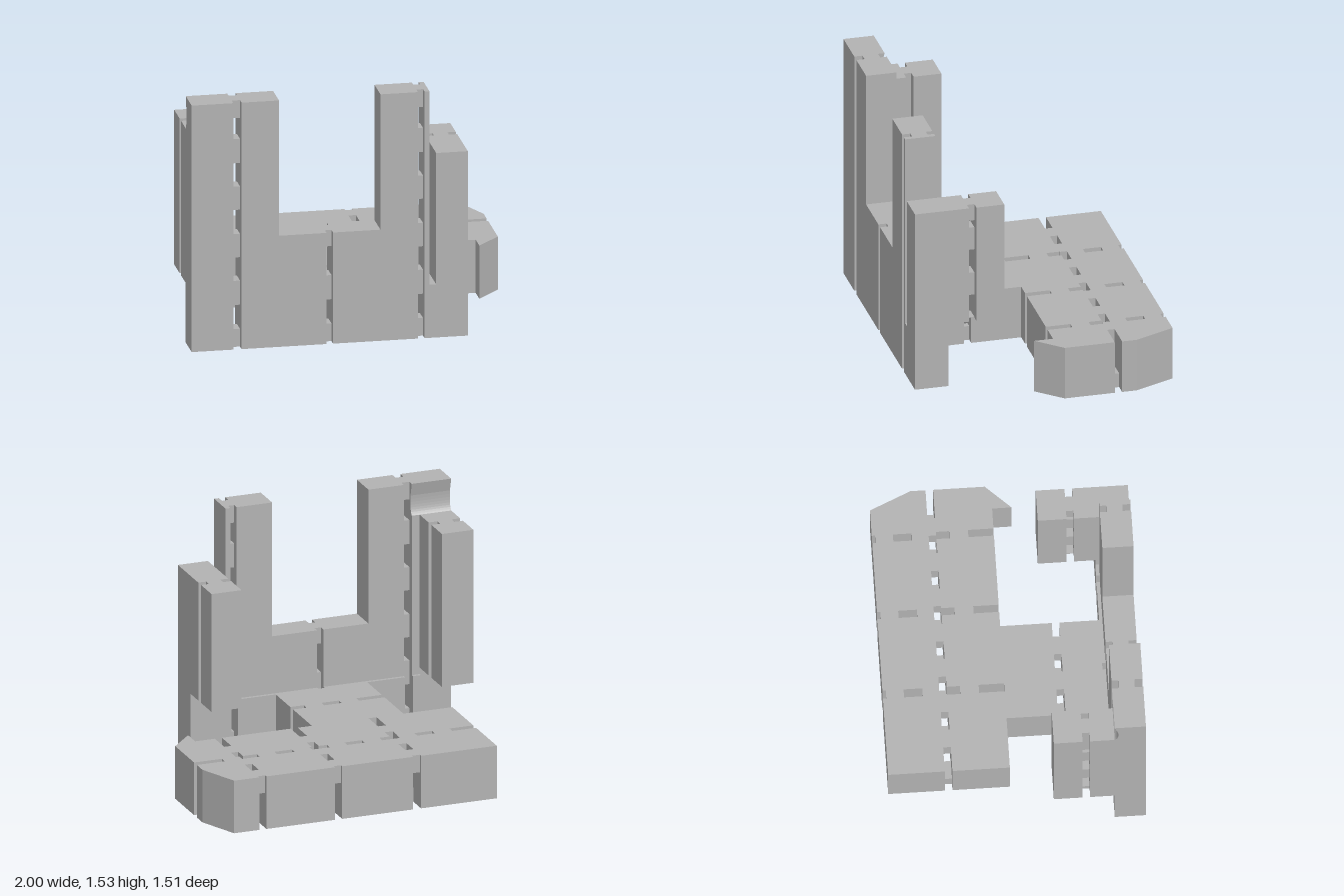
import * as THREE from 'three';

export function createModel() {
  const root = new THREE.Group();
  root.name = 'modularBlockStructure';
  const grey = new THREE.MeshStandardMaterial({ color: 0xb2b2b2 });
  grey.name = 'plain grey';

  const group = (name) => {
    const g = new THREE.Group();
    g.name = name;
    root.add(g);
    return g;
  };
  const add = (g, name, geo) => {
    const m = new THREE.Mesh(geo, grey);
    m.name = name;
    g.add(m);
    return m;
  };
  // Box given by its limits on each axis
  const box = (g, name, x0, x1, y0, y1, z0, z1) => {
    const geo = new THREE.BoxGeometry(x1 - x0, y1 - y0, z1 - z0);
    geo.translate((x0 + x1) / 2, (y0 + y1) / 2, (z0 + z1) / 2);
    return add(g, name, geo);
  };
  // Upright prism from a floor plan of [x, z] points
  const prism = (g, name, plan, height) => {
    const shape = new THREE.Shape(plan.map(([x, z]) => new THREE.Vector2(x, -z)));
    const geo = new THREE.ExtrudeGeometry(shape, { depth: height, bevelEnabled: false });
    geo.rotateX(-Math.PI / 2);
    return add(g, name, geo);
  };
  // Solid stretches left between a and b once the gaps are taken out
  const solids = (a, b, gaps) => {
    const out = [];
    let at = a;
    for (const [g0, g1] of gaps) {
      if (g1 <= at || g0 >= b) continue;
      if (g0 > at) out.push([at, g0]);
      at = g1;
    }
    if (at < b) out.push([at, b]);
    return out;
  };

  // Floor slab: full-height cells separated by narrow channels
  const H = 0.33;
  const floor = group('floorSlab');
  const columns = [[-0.29, -0.24], [0.21, 0.255], [0.69, 0.735]];
  const row = [-0.42, -0.375];
  for (const [x0, x1] of solids(-0.77, 0.735, columns)) {
    box(floor, 'rearCell', x0, x1, 0, H, -0.755, row[0]);
    box(floor, 'frontCell', x0, x1, 0, H, row[1], -0.035);
  }
  prism(floor, 'chamferedRearCell',
    [[0.735, -0.755], [0.895, -0.755], [1, -0.51], [1, row[0]], [0.735, row[0]]], H);
  prism(floor, 'pointedFrontCell',
    [[0.735, row[1]], [1, row[1]], [1, -0.07], [0.86, 0.08], [0.86, -0.035], [0.735, -0.035]], H);
  box(floor, 'stemRear', -0.46, 0.12, 0, H, -0.035, 0.27);
  box(floor, 'stemFront', -0.46, 0.12, 0, H, 0.315, 0.55);

  // Channel covers: alternating slots above and below a through tunnel
  const pitch = 0.222, slot = 0.111;
  const slotsFrom = (start, n) =>
    Array.from({ length: n }, (_, i) => [start + i * pitch, start + i * pitch + slot]);
  const covers = (name, a, b, start, n, place) => {
    for (const [s, e] of solids(a, b, slotsFrom(start, n))) place(name + 'Top', s, e, 0.22, H);
    for (const [s, e] of solids(a, b, slotsFrom(start - slot, n + 1))) place(name + 'Bottom', s, e, 0, 0.09);
  };
  covers('crossChannel', -0.73, 0.93, -0.73, 8,
    (n, s, e, y0, y1) => box(floor, n, s, e, y0, y1, row[0], row[1]));
  covers('stemChannel', -0.41, 0.075, -0.41, 3,
    (n, s, e, y0, y1) => box(floor, n, s, e, y0, y1, 0.27, 0.315));
  for (const [x0, x1] of columns) {
    for (const [a, b] of [[-0.735, row[0]], [row[1], -0.075]]) {
      covers('lengthChannel', a, b, -0.63, 3,
        (n, s, e, y0, y1) => box(floor, n, x0, x1, y0, y1, s, e));
    }
  }

  // Front wall: segments [x0, x1, height] between the upright grooves
  const wall = group('frontWall');
  const back = 0.57, front = 0.755;
  const segments = [
    [-0.70, -0.475, 1.53], [-0.475, -0.19, 0.69],
    [-0.15, 0.135, 0.69], [0.135, 0.36, 1.53], [0.40, 0.43, 1.53],
  ];
  for (const [x0, x1, h] of segments) {
    box(wall, 'wallSegment', x0, x1, 0, h, back, front);
    box(wall, 'rearLedge', x0, x1, 0, H, 0.55, back);
  }
  box(wall, 'outerRearLedge', -0.8, -0.75, 0, H, 0.55, back);
  box(wall, 'slotSill', 0.43, 0.47, 0, H, 0.55, front);

  // Outer tower with a hollowed upper back, as a side profile
  const side = new THREE.Shape();
  side.moveTo(-front, 0);
  side.lineTo(-back, 0);
  side.lineTo(-back, 1.33);
  side.quadraticCurveTo(-0.6, 1.36, -0.59, 1.45);
  side.lineTo(-back, 1.53);
  side.lineTo(-front, 1.53);
  const towerGeo = new THREE.ExtrudeGeometry(side, { depth: 0.25, bevelEnabled: false, curveSegments: 8 });
  towerGeo.rotateY(Math.PI / 2);
  towerGeo.translate(-1, 0, 0);
  add(wall, 'outerTower', towerGeo);

  // Recessed groove cores pierced by windows
  const windows = [[0.11, 0.26], [0.41, 0.555], [0.70, 0.85], [0.995, 1.14], [1.29, 1.42]];
  const cores = [
    [-0.75, -0.70, 1.53, windows],
    [-0.19, -0.15, 0.69, [[0.11, 0.26], [0.41, 0.59]]],
    [0.36, 0.40, 1.53, windows],
  ];
  for (const [x0, x1, h, gaps] of cores) {
    for (const [y0, y1] of solids(0, h, gaps)) box(wall, 'grooveCore', x0, x1, y0, y1, 0.61, 0.705);
  }

  // Raised side blocks reaching back from the wall
  const sideBlock = (name, x0, x1, y0, y1, zEnd, inset, gaps) => {
    const g = group(name);
    box(g, 'rearHalf', x0, x1, y0, y1, 0.21, 0.38);
    box(g, 'frontHalf', x0, x1, y0, y1, 0.425, zEnd);
    for (const [a, b] of solids(y0, y1, gaps)) {
      box(g, 'grooveCore', x0 + inset, x1 - inset, a, b, 0.38, 0.425);
    }
    return g;
  };
  const sideWindows = [[0.41, 0.555], [0.70, 0.85], [0.995, 1.04]];
  sideBlock('rightBlock', -1, -0.8, 0.37, 1.33, back, 0.055, sideWindows);
  const left = sideBlock('leftBlock', 0.47, 0.66, 0.405, 1.145, front, 0.05, sideWindows);
  box(left, 'blockFoot', 0.47, 0.66, 0, 0.405, 0.55, front);

  return root;
}
